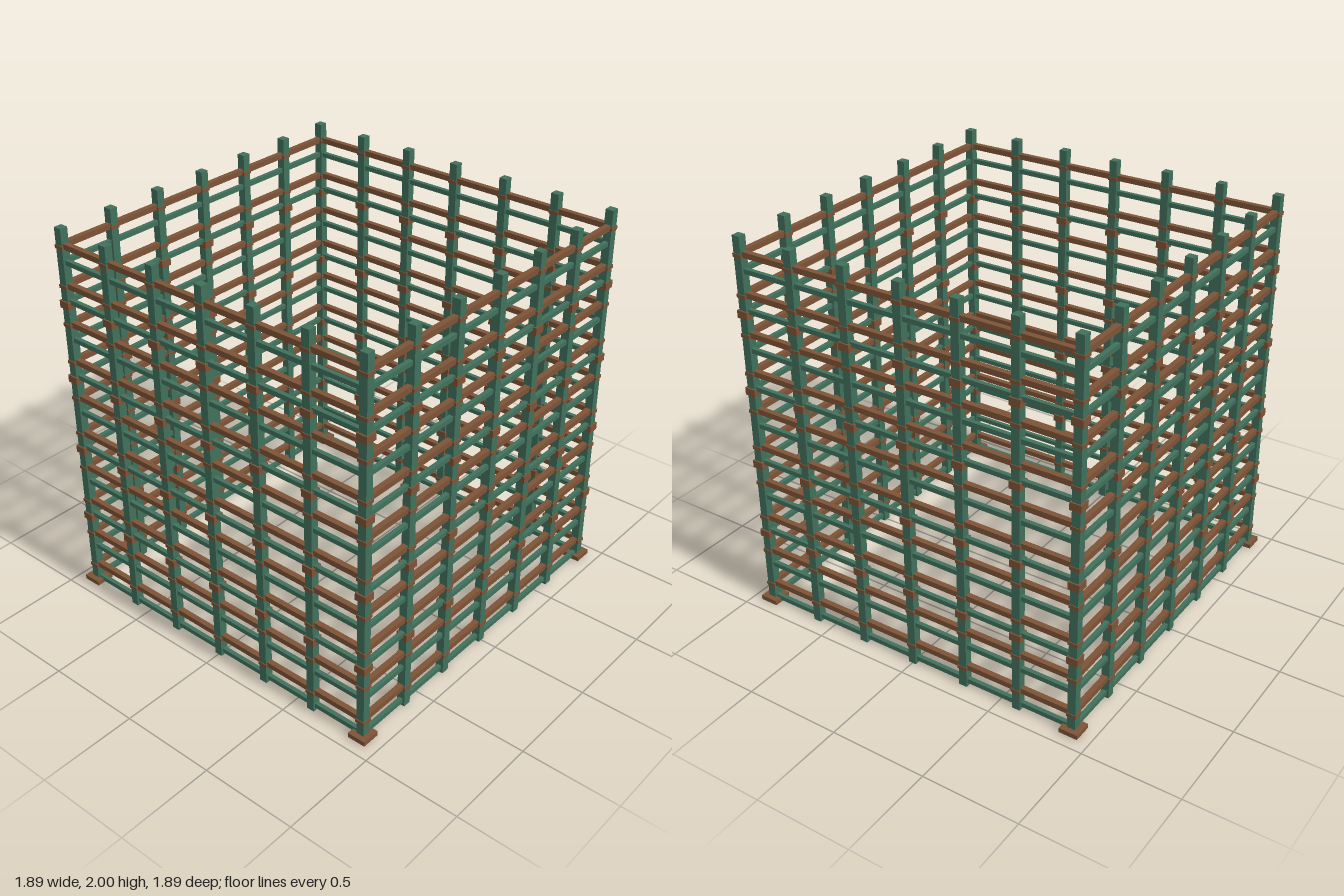
import * as THREE from 'three';

export function createModel() {
  const model = new THREE.Group();
  model.name = 'latticeEnclosure';

  const green = new THREE.MeshStandardMaterial({ color: 0x41705c });
  green.name = 'patinaGreen';
  const brown = new THREE.MeshStandardMaterial({ color: 0x7c5336 });
  brown.name = 'rustBrown';

  const R = 0.895;          // distance of each wall from the centre
  const BAYS = 6;           // bays between corner posts
  const STEP = (2 * R) / BAYS;

  function box(parent, name, material, size, pos) {
    const mesh = new THREE.Mesh(new THREE.BoxGeometry(...size), material);
    mesh.name = name;
    mesh.position.set(...pos);
    parent.add(mesh);
    return mesh;
  }

  // Four identical walls; each owns one corner post
  for (let side = 0; side < 4; side++) {
    const wall = new THREE.Group();
    wall.name = ['frontWall', 'leftWall', 'backWall', 'rightWall'][side];
    wall.rotation.y = side * Math.PI / 2;
    model.add(wall);

    for (let i = 0; i < BAYS; i++) {
      const x = -R + i * STEP;
      box(wall, i === 0 ? 'cornerPost' : 'post', green, [0.042, 2, 0.042], [x, 1, R]);

      // Large clamps on every second level
      for (let k = 0; k < 4; k++) {
        box(wall, 'clamp', brown, [0.058, 0.038, 0.058], [x, 0.414 + k * 0.4, R]);
      }
      // Small ties where the upper rails cross the post
      for (let k = 0; k < 10; k++) {
        box(wall, 'tie', brown, [0.05, 0.018, 0.05], [x, 0.105 + k * 0.2, R]);
      }
    }

    // Alternating thin green and thicker brown rails
    for (let k = 0; k < 10; k++) {
      box(wall, 'greenRail', green, [2 * R, 0.024, 0.022], [0, 0.03 + k * 0.2, R]);
      box(wall, 'brownRail', brown, [2 * R, 0.028, 0.028], [0, 0.112 + k * 0.2, R]);
    }

    // Foot plate under the corner post
    box(wall, 'footPlate', brown, [0.096, 0.024, 0.096], [-R, 0.018, R]);
  }

  return model;
}
